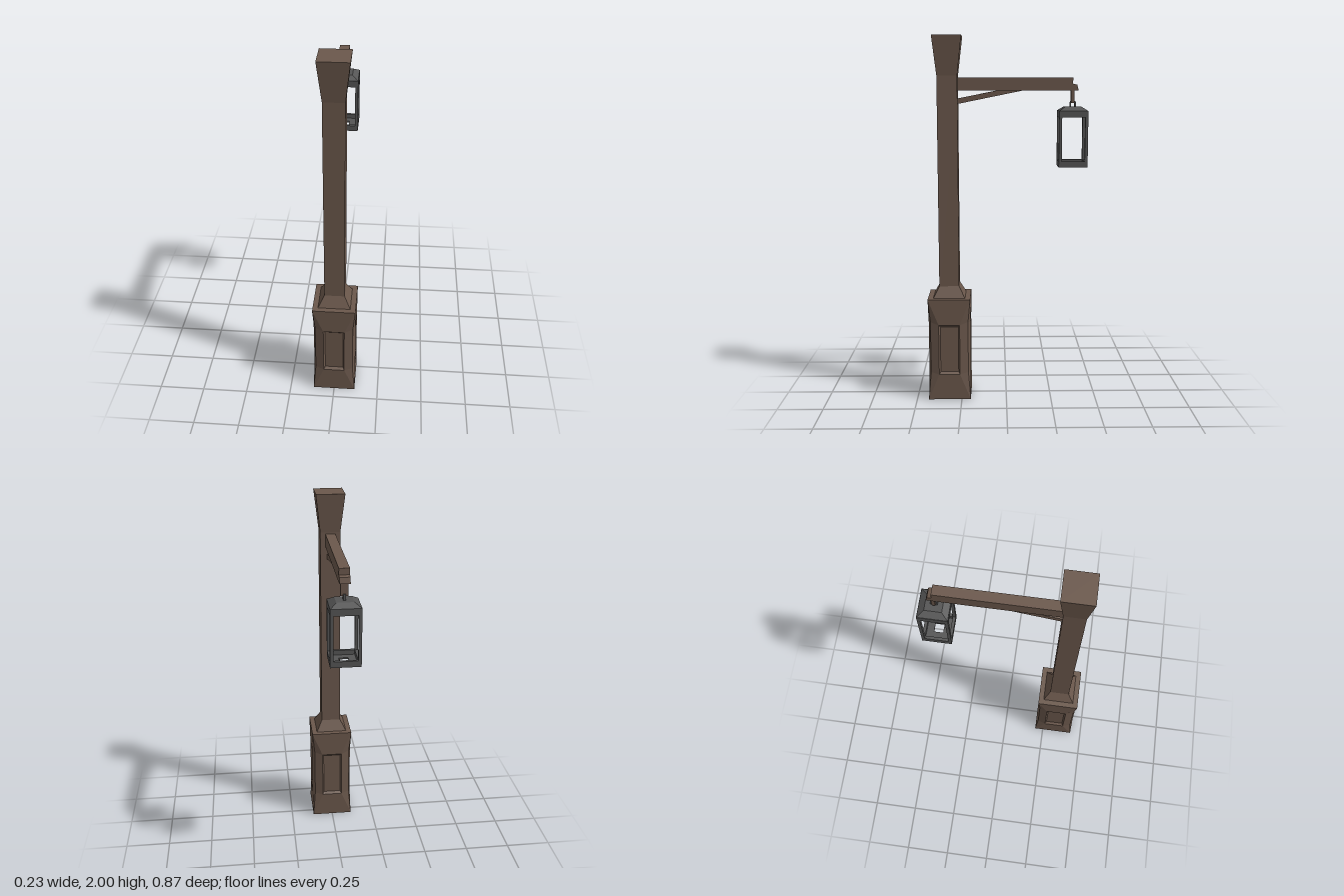
import * as THREE from 'three';

const wood = new THREE.MeshStandardMaterial({ color: 0x6b584c, flatShading: true });
const iron = new THREE.MeshStandardMaterial({ color: 0x555555, flatShading: true });
const POST_Z = 0.317, LAMP_Z = -0.361;

function add(parent, name, geo, mat, x = 0, y = 0, z = 0) {
  const m = new THREE.Mesh(geo, mat);
  m.name = name;
  m.position.set(x, y, z);
  parent.add(m);
  return m;
}

// Square frustum standing on y = 0, given half widths
function frustum(bottom, top, h) {
  const g = new THREE.CylinderGeometry(top * Math.SQRT2, bottom * Math.SQRT2, h, 4);
  g.rotateY(Math.PI / 4);
  g.translate(0, h / 2, 0);
  return g;
}

// Flat polygons (counter-clockwise, fanned into triangles)
function polygons(list) {
  const pos = [];
  for (const p of list)
    for (let i = 1; i < p.length - 1; i++) pos.push(...p[0], ...p[i], ...p[i + 1]);
  const g = new THREE.BufferGeometry();
  g.setAttribute('position', new THREE.Float32BufferAttribute(pos, 3));
  g.computeVertexNormals();
  return g;
}

// One side of the pedestal: corners pinched at mid height, sunken panel
function pedestalSide() {
  const w = 0.117, m = 0.104;
  const rect = (x, y0, y1, z) => [[-x, y0, z], [x, y0, z], [x, y1, z], [-x, y1, z]];
  const [a, b, c, d] = rect(w, 0, 0.575, w);
  const [ma, mb, mc, md] = rect(m, 0.155, 0.445, m);
  const outer = rect(0.058, 0.145, 0.43, w);
  const inner = rect(0.05, 0.157, 0.416, w - 0.014);
  const [p, q, r, s] = outer;
  const list = [
    [a, b, q, p], [s, r, c, d],
    [a, p, ma], [ma, p, s, md], [md, s, d],
    [b, mb, q], [mb, mc, r, q], [mc, c, r],
    inner,
  ];
  for (let i = 0; i < 4; i++) {
    const j = (i + 1) % 4;
    list.push([outer[i], outer[j], inner[j], inner[i]]);
  }
  return polygons(list);
}

function buildPost() {
  const g = new THREE.Group();
  g.name = 'post';
  g.position.z = POST_Z;
  const side = pedestalSide();
  for (let i = 0; i < 4; i++)
    add(g, 'pedestalSide', side, wood).rotation.y = i * Math.PI / 2;
  add(g, 'pedestalTop', new THREE.PlaneGeometry(0.234, 0.234), wood, 0, 0.575, 0).rotation.x = -Math.PI / 2;
  add(g, 'pedestalBottom', new THREE.PlaneGeometry(0.234, 0.234), wood).rotation.x = Math.PI / 2;
  add(g, 'collar', frustum(0.088, 0.055, 0.062), wood, 0, 0.575, 0);
  add(g, 'shaft', frustum(0.055, 0.055, 1.215), wood, 0, 0.575, 0);
  add(g, 'cap', frustum(0.055, 0.079, 0.21), wood, 0, 1.79, 0);
  return g;
}

// Plate of constant width in x from a (z, y) outline
function plate(points, width) {
  const s = new THREE.Shape(points.map(([z, y]) => new THREE.Vector2(-z, y)));
  const g = new THREE.ExtrudeGeometry(s, { depth: width, bevelEnabled: false });
  g.translate(0, 0, -width / 2);
  g.rotateY(Math.PI / 2);
  return g;
}

function buildArm() {
  const g = new THREE.Group();
  g.name = 'arm';
  add(g, 'beam', plate([[0.27, 1.71], [0.27, 1.78], [-0.36, 1.78], [-0.36, 1.71]], 0.054), wood);
  add(g, 'brace', plate([[0.27, 1.638], [0.27, 1.667], [0.05, 1.711], [-0.09, 1.711]], 0.036), wood);
  add(g, 'beamTip', plate([[-0.345, 1.712], [-0.358, 1.748], [-0.382, 1.742], [-0.39, 1.712]], 0.054), wood);
  add(g, 'hangerStrap', new THREE.BoxGeometry(0.04, 0.075, 0.018), wood, 0, 1.682, LAMP_Z + 0.002);
  return g;
}

// Square plate with a square hole, lying flat from y = 0 up to h
function squareFrame(half, hole, h) {
  const square = (Type, r) => new Type([[-r, -r], [r, -r], [r, r], [-r, r]].map(([x, y]) => new THREE.Vector2(x, y)));
  const s = square(THREE.Shape, half);
  s.holes.push(square(THREE.Path, hole));
  const g = new THREE.ExtrudeGeometry(s, { depth: h, bevelEnabled: false });
  g.rotateX(-Math.PI / 2);
  return g;
}

function buildLantern() {
  const g = new THREE.Group();
  g.name = 'lantern';
  g.position.set(0, 1.3, LAMP_Z);
  const half = 0.078, bar = 0.016;
  add(g, 'floor', squareFrame(half - 0.004, 0.024, 0.008), iron);
  add(g, 'lowerFrame', squareFrame(half, half - bar, 0.032), iron);
  add(g, 'upperFrame', squareFrame(half, half - bar, 0.036), iron, 0, 0.268, 0);
  for (const x of [-1, 1])
    for (const z of [-1, 1])
      add(g, 'cornerBar', new THREE.BoxGeometry(bar, 0.25, bar), iron,
        x * (half - bar / 2), 0.15, z * (half - bar / 2));
  add(g, 'roof', frustum(half, 0.044, 0.022), iron, 0, 0.303, 0);
  // Hanging loop
  for (const z of [-1, 1])
    add(g, 'loopSide', new THREE.BoxGeometry(0.014, 0.03, 0.009), iron, 0, 0.335, z * 0.013);
  add(g, 'loopTop', new THREE.BoxGeometry(0.014, 0.009, 0.03), iron, 0, 0.35, 0);
  return g;
}

export function createModel() {
  const model = new THREE.Group();
  model.name = 'lampPost';
  model.add(buildPost(), buildArm(), buildLantern());
  return model;
}
